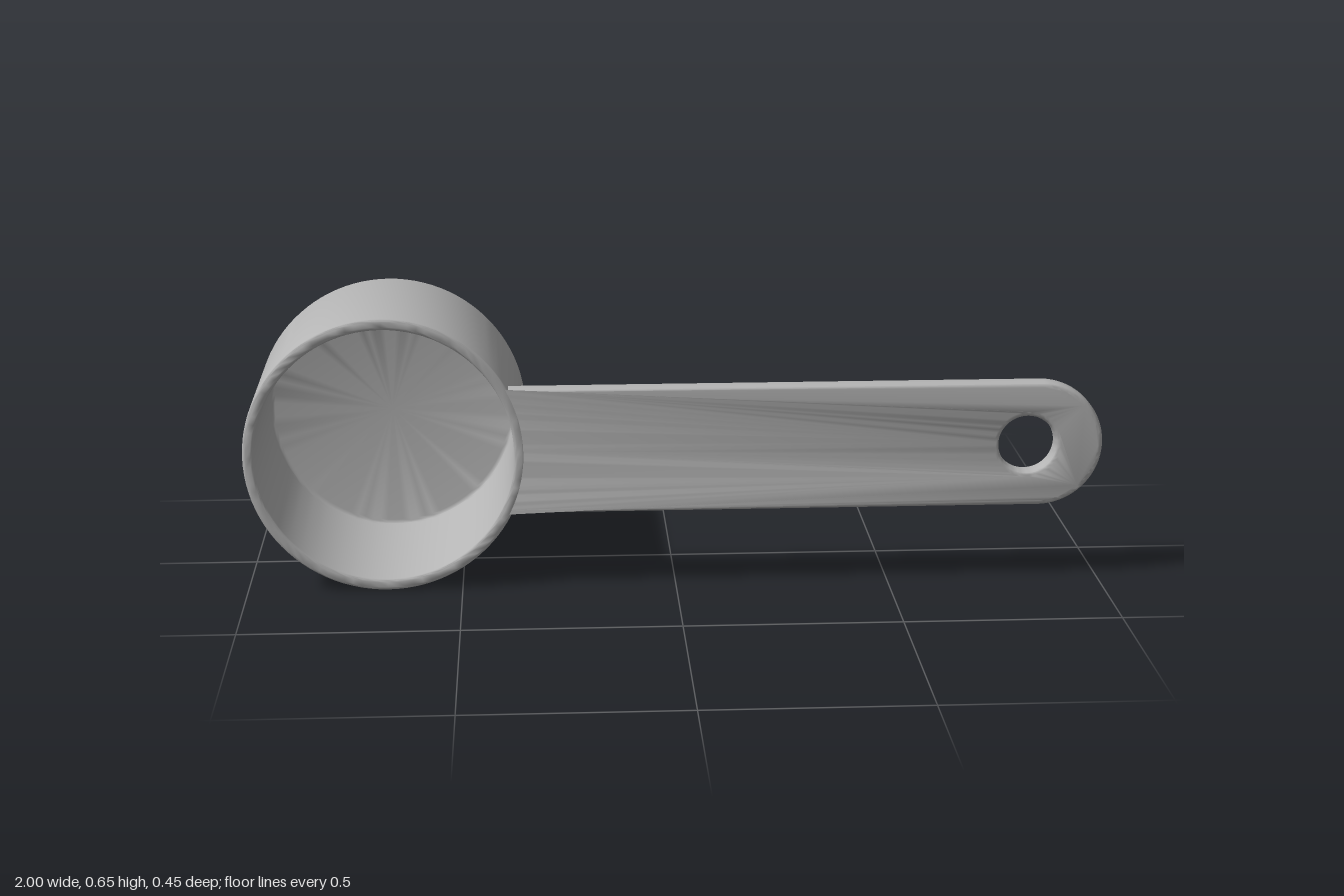
import * as THREE from 'three';
import { toCreasedNormals } from 'three/addons/utils/BufferGeometryUtils.js';

const CUP = { x: -0.674, y: 0.326, r: 0.326, inner: 0.299, half: 0.223 };

// Points of a quarter-round (or any arc) in a profile
function arc(cx, cy, r, from, to, steps) {
  return Array.from({ length: steps + 1 }, (_, i) => {
    const a = from + ((to - from) * i) / steps;
    return new THREE.Vector2(cx + r * Math.cos(a), cy + r * Math.sin(a));
  });
}

// Hollow cup: rounded base, small rounded rim, flat inner floor
function cupGeometry() {
  const { r, inner, half } = CUP;
  const fillet = 0.032, rim = 0.008, floor = -half + 0.03;
  const profile = [
    new THREE.Vector2(0, -half),
    ...arc(r - fillet, -half + fillet, fillet, -Math.PI / 2, 0, 6),
    ...arc(r - rim, half - rim, rim, 0, Math.PI / 2, 4),
    ...arc(inner + rim, half - rim, rim, Math.PI / 2, Math.PI, 4),
    ...arc(inner - 0.012, floor + 0.012, 0.012, 0, -Math.PI / 2, 4),
    new THREE.Vector2(0, floor),
  ];
  const g = new THREE.LatheGeometry(profile, 96);
  g.rotateX(Math.PI / 2); // open end towards +z
  return toCreasedNormals(g, 0.6);
}

// Flat handle with a round end, a hanging hole and a curved root inside the cup wall
function handleGeometry() {
  const y = 0.331, h = 0.149, endX = 1 - h, root = 0.307;
  const bevel = 0.012, depth = 0.05;
  const top = Math.asin((y + h - CUP.y) / root);
  const bottom = Math.asin((y - h - CUP.y) / root);

  const shape = new THREE.Shape();
  shape.moveTo(CUP.x + root * Math.cos(bottom), y - h);
  shape.lineTo(endX, y - h);
  shape.absarc(endX, y, h, -Math.PI / 2, Math.PI / 2, false);
  shape.lineTo(CUP.x + root * Math.cos(top), y + h);
  shape.absarc(CUP.x, CUP.y, root, top, bottom, true);

  const hole = new THREE.Path();
  hole.absarc(0.822, y, 0.067, 0, Math.PI * 2, true);
  shape.holes.push(hole);

  const g = new THREE.ExtrudeGeometry(shape, {
    depth: depth - 2 * bevel, curveSegments: 32, bevelEnabled: true,
    bevelSize: bevel, bevelThickness: bevel, bevelOffset: -bevel, bevelSegments: 4,
  });
  g.translate(0, 0, CUP.half - 0.0005 - depth + bevel);
  return toCreasedNormals(g, 0.6);
}

export function createModel() {
  const grey = new THREE.MeshStandardMaterial({ color: 0xb4b4b4 });
  grey.name = 'grey plastic';

  const cup = new THREE.Mesh(cupGeometry(), grey);
  cup.name = 'cup';
  cup.position.set(CUP.x, CUP.y, 0);

  const handle = new THREE.Mesh(handleGeometry(), grey);
  handle.name = 'handle';

  const model = new THREE.Group();
  model.name = 'measuringScoop';
  model.add(cup, handle);
  return model;
}
